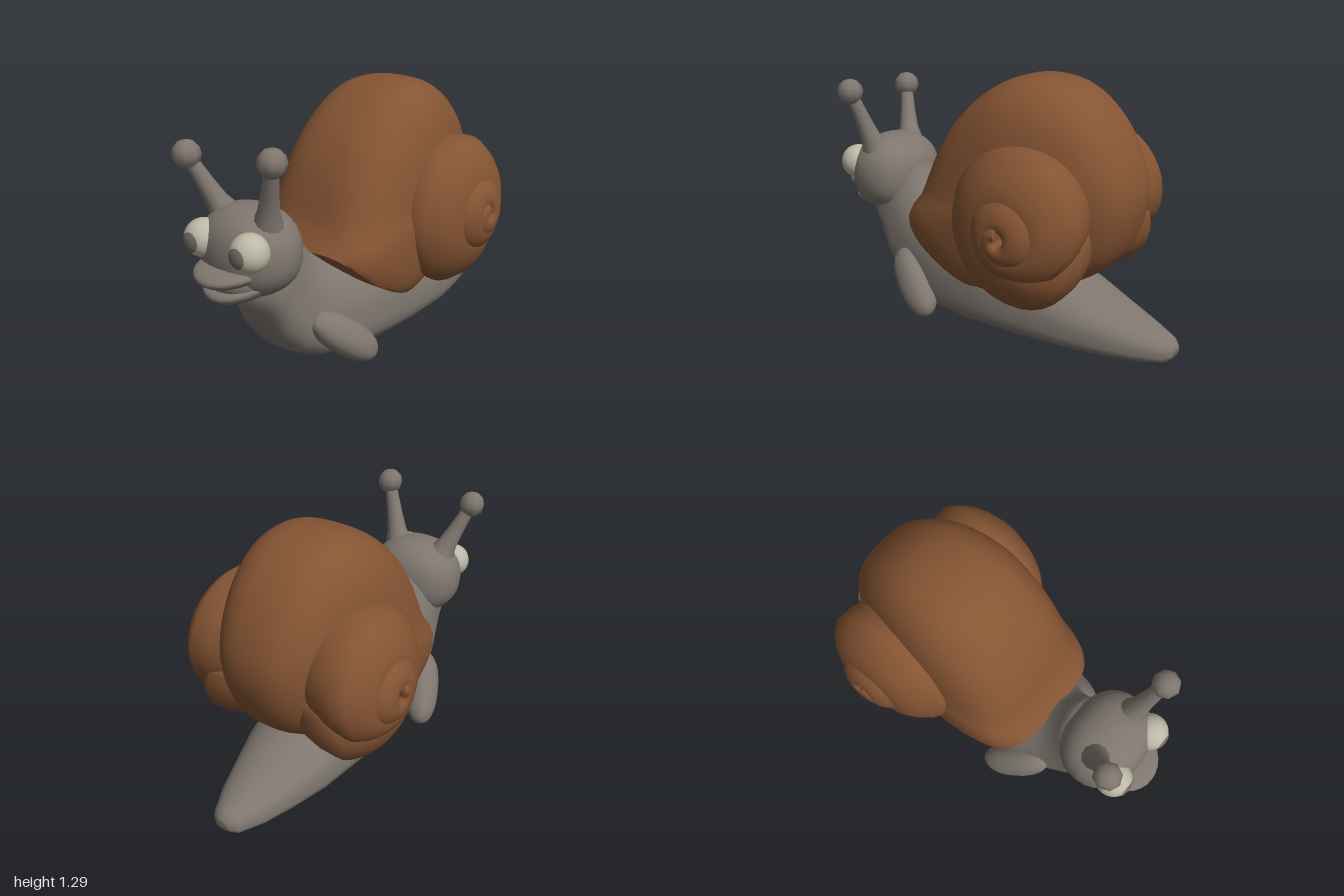
import * as THREE from 'three';
import { toCreasedNormals } from 'three/addons/utils/BufferGeometryUtils.js';

const V = (x, y, z) => new THREE.Vector3(x, y, z);
const rad = THREE.MathUtils.degToRad;
const spow = (v, p) => Math.sign(v) * Math.abs(v) ** p;

// smooth lookup through [position, value] pairs
function table(pairs) {
  const f = new THREE.CubicInterpolant(pairs.map(p => p[0]), pairs.map(p => p[1]), 1, new Float32Array(1));
  return t => f.evaluate(t)[0];
}

// skin over a list of point rows; closed rows wrap round and get end caps
function loft(rows, closed, flip = false) {
  const n = rows[0].length, pts = rows.flat(), index = [];
  const tri = (a, b, c) => (flip ? index.push(a, c, b) : index.push(a, b, c));
  for (let i = 0; i < rows.length - 1; i++) {
    for (let j = 0; j < (closed ? n : n - 1); j++) {
      const k = (j + 1) % n, a = i * n + j, b = i * n + k;
      tri(a, b, a + n);
      tri(b, b + n, a + n);
    }
  }
  if (closed) {
    const centre = row => row.reduce((s, p) => s.add(p), V(0, 0, 0)).divideScalar(n);
    const last = (rows.length - 1) * n, c = pts.length;
    pts.push(centre(rows[0]), centre(rows[rows.length - 1]));
    for (let j = 0; j < n; j++) {
      const k = (j + 1) % n;
      tri(c, k, j);
      tri(c + 1, last + j, last + k);
    }
  }
  const geo = new THREE.BufferGeometry().setFromPoints(pts);
  geo.setIndex(index);
  geo.computeVertexNormals();
  return geo;
}

// foot, belly and neck: [bottom z, bottom y, top z, top y, half width]
function bodyGeometry() {
  const sections = [
    [-1, 0.045, -1, 0.105, 0.04], [-0.97, 0.02, -0.97, 0.13, 0.08],
    [-0.85, 0.008, -0.85, 0.175, 0.14], [-0.7, 0, -0.7, 0.235, 0.19],
    [-0.5, 0, -0.5, 0.32, 0.25], [-0.2, 0, -0.2, 0.42, 0.29],
    [0.05, 0, 0.02, 0.5, 0.3], [0.28, 0.01, 0.2, 0.52, 0.285],
    [0.45, 0.04, 0.32, 0.54, 0.245], [0.56, 0.1, 0.38, 0.57, 0.215],
    [0.66, 0.22, 0.43, 0.61, 0.195], [0.72, 0.36, 0.475, 0.68, 0.185],
    [0.75, 0.44, 0.54, 0.77, 0.185]];
  return loft(sections.map(([zb, yb, zt, yt, w]) => Array.from({ length: 28 }, (_, j) => {
    const a = j / 28 * Math.PI * 2, p = Math.sin(a) < 0 ? 0.65 : 0.95;
    const t = 0.5 + 0.5 * spow(Math.sin(a), p);
    return V(w * spow(Math.cos(a), p) * (1.04 - 0.14 * t), yb + (yt - yb) * t, zb + (zt - zb) * t);
  })), true);
}

// broad outer whorl, cut off below along a slanting lip
function mainWhorlGeometry() {
  const radius = table([[-90, 0.45], [-62, 0.55], [-40, 0.6], [-20, 0.665], [-12, 0.645], [-6, 0.58],
    [5, 0.535], [23, 0.512], [47, 0.52], [66, 0.547], [83, 0.582], [95, 0.595], [112, 0.603],
    [130, 0.589], [151, 0.573], [170, 0.566], [191, 0.54], [208, 0.52], [230, 0.48], [270, 0.45]]);
  const width = table([[-90, 0.37], [-60, 0.39], [-20, 0.392], [0, 0.38], [47, 0.372], [90, 0.364],
    [150, 0.33], [190, 0.31], [230, 0.31], [270, 0.37]]);
  const roundness = table([[-90, 0.45], [-20, 0.45], [0, 0.56], [50, 0.68], [90, 0.7], [270, 0.75]]);
  const lip = table([[-0.5, 0.25], [-0.2, 0.265], [0, 0.285], [0.2, 0.385], [0.33, 0.49], [0.41, 0.57]]);
  const rows = [];
  for (let d = -90; d <= 270; d += 5) {
    const r = radius(d), w = width(d), p = roundness(d), row = [];
    for (let j = 0; j <= 32; j++) {
      const s = j / 32 * Math.PI, rho = r * Math.max(Math.sin(s), 0) ** p;
      const z = -0.22 + rho * Math.cos(rad(d)), y = 0.7 + rho * Math.sin(rad(d));
      row.push(V(-w * spow(Math.cos(s), p), Math.max(y, lip(z)), z));
    }
    rows.push(row);
  }
  return toCreasedNormals(loft(rows, false), 0.9);
}

// coiled side of the shell, narrowing and rising outwards to its tip
function sideCoilGeometry(side) {
  const outer = table([[-180, 0.28], [-135, 0.35], [-90, 0.385], [0, 0.39], [90, 0.38], [180, 0.31],
    [270, 0.215], [360, 0.19], [450, 0.2], [540, 0.17], [630, 0.13], [720, 0.1], [810, 0.07]]);
  const height = table([[0.05, 0.59], [0.1, 0.588], [0.2, 0.575], [0.3, 0.54], [0.4, 0.532]]);
  const rows = [];
  for (let d = -180; d <= 810; d += 10) {
    const ro = outer(d), a = ro * 0.4, r = ro - a;
    const sunk = 0.12 * Math.max(0, -(d + 90) / 90) ** 2;
    const xc = height(ro) - a - sunk;
    rows.push(Array.from({ length: 18 }, (_, j) => {
      const q = j / 18 * Math.PI * 2, s = Math.sin(q);
      const rr = r + a * Math.cos(q) - 0.5 * a * Math.max(s, 0);
      return V(side * (xc + a * s * (s < 0 ? 2 : 1)),
        0.645 + rr * Math.sin(rad(d)), -0.38 + rr * Math.cos(rad(d)));
    }));
  }
  return loft(rows, true, side < 0);
}

// sphere stretched to radii, squared off by p and bent upwards at the sides
function blob(rx, ry, rz, p = 1, bend = 0) {
  const geo = new THREE.SphereGeometry(1, 28, 20), pos = geo.attributes.position;
  for (let i = 0; i < pos.count; i++) {
    const x = rx * spow(pos.getX(i), p);
    pos.setXYZ(i, x, ry * spow(pos.getY(i), p) + bend * x * x, rz * spow(pos.getZ(i), p));
  }
  geo.computeVertexNormals();
  return geo;
}

export function createModel() {
  const model = new THREE.Group();
  model.name = 'snail';
  const mat = (name, color) => {
    const m = new THREE.MeshStandardMaterial({ color });
    m.name = name;
    return m;
  };
  const skin = mat('grey skin', 0x7f776f);
  const brown = mat('brown shell', 0x855433);
  const white = mat('eye white', 0xbdb8a6);
  const iris = mat('grey pupil', 0x726d63);
  const add = (name, geo, material, x = 0, y = 0, z = 0) => {
    const m = new THREE.Mesh(geo, material);
    m.name = name;
    m.position.set(x, y, z);
    model.add(m);
    return m;
  };

  add('body', bodyGeometry(), skin);
  add('shellMainWhorl', mainWhorlGeometry(), brown);

  // head with a smiling mouth
  add('head', blob(0.248, 0.21, 0.2, 0.88), skin, 0, 0.66, 0.71);
  add('muzzle', blob(0.165, 0.1, 0.14), skin, 0, 0.555, 0.79);
  add('upperLip', blob(0.168, 0.05, 0.17, 1, 0.9), skin, 0, 0.578, 0.83);
  add('lowerLip', blob(0.168, 0.05, 0.16, 1, 1.5), skin, 0, 0.49, 0.79);

  for (const side of [1, -1]) {
    const word = side > 0 ? 'left' : 'right';
    add(word + 'ShellCoil', sideCoilGeometry(side), brown);

    // eyes
    add(word + 'Eye', blob(0.09, 0.09, 0.09), white, side * 0.147, 0.717, 0.853);
    const pupil = new THREE.SphereGeometry(0.093, 20, 6, 0, Math.PI * 2, 0, 0.53);
    pupil.rotateX(Math.PI / 2);
    add(word + 'Pupil', pupil, iris, side * 0.147, 0.715, 0.853);

    // flippers
    const flipper = add(word + 'Flipper', blob(0.082, 0.205, 0.09, 0.88), skin, side * 0.26, 0.167, 0.368);
    flipper.quaternion.setFromUnitVectors(V(0, 1, 0), V(-side * 0.35, 0.62, 0.71).normalize());

    // eye stalks with faceted knobs, one a little higher than the other
    const base = V(side * 0.135, 0.8, 0.73);
    const tip = side > 0 ? V(0.24, 1.12, 0.795) : V(-0.247, 1.08, 0.84);
    const length = base.distanceTo(tip);
    const profile = [[0.075, 0], [0.052, 0.22], [0.042, 0.5], [0.036, 0.75], [0.032, 1]];
    const stalk = add(word + 'Stalk', new THREE.LatheGeometry(
      profile.map(([r, t]) => new THREE.Vector2(r, t * length)), 12), skin, ...base);
    stalk.quaternion.setFromUnitVectors(V(0, 1, 0), tip.clone().sub(base).normalize());
    add(word + 'StalkKnob', new THREE.SphereGeometry(0.068, 8, 6), skin, ...tip);
  }
  return model;
}
